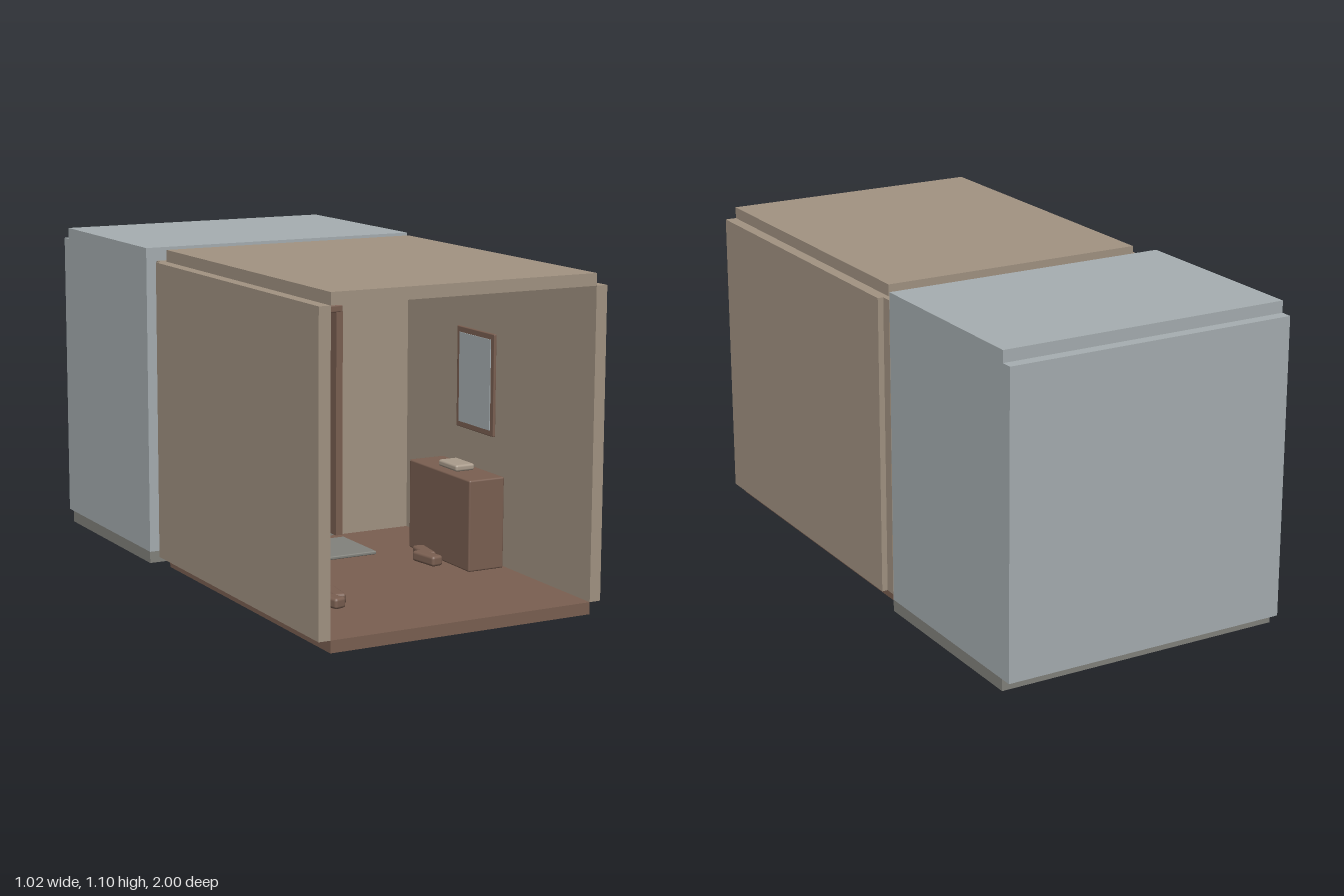
import * as THREE from 'three';
import { RoundedBoxGeometry } from 'three/addons/geometries/RoundedBoxGeometry.js';

const mat = (name, color) => Object.assign(new THREE.MeshStandardMaterial({ color }), { name });

export function createModel() {
  const plaster = mat('beige plaster', 0xa29382);
  const wood = mat('brown wood', 0x7a5f51);
  const paleWall = mat('pale blue grey', 0xa6aeb1);
  const stone = mat('grey stone', 0x82827c);
  const cloth = mat('blue cloth', 0x4f6780);
  const cream = mat('cream', 0xaa9c8c);

  const model = new THREE.Group();
  model.name = 'entranceHall';

  const add = (parent, name, geometry, material) => {
    const mesh = new THREE.Mesh(geometry, material);
    mesh.name = name;
    parent.add(mesh);
    return mesh;
  };
  // Box given by its extents along each axis; r rounds the edges
  const box = (name, material, [x0, x1], [y0, y1], [z0, z1], r = 0, parent = model) => {
    const size = [x1 - x0, y1 - y0, z1 - z0];
    const geometry = r ? new RoundedBoxGeometry(...size, 3, r) : new THREE.BoxGeometry(...size);
    const mesh = add(parent, name, geometry, material);
    mesh.position.set((x0 + x1) / 2, (y0 + y1) / 2, (z0 + z1) / 2);
    return mesh;
  };

  // Front hall shell
  const hallZ = [-0.175, 1];
  box('hallFloor', wood, [-0.47, 0.47], [0, 0.04], hallZ);
  box('hallCeiling', plaster, [-0.47, 0.47], [1.06, 1.1], hallZ);
  box('hallRightWall', plaster, [-0.51, -0.47], [0.04, 1.06], hallZ);
  box('hallLeftWall', plaster, [0.47, 0.51], [0.04, 1.06], hallZ);

  // Dividing wall with the doorway cut out
  const outline = new THREE.Shape([
    [-0.49, 0.04], [-0.175, 0.04], [-0.175, 0.845], [0.175, 0.845],
    [0.175, 0.04], [0.49, 0.04], [0.49, 1.06], [-0.49, 1.06],
  ].map(([x, y]) => new THREE.Vector2(x, y)));
  add(model, 'dividingWall', new THREE.ExtrudeGeometry(outline, { depth: 0.04, bevelEnabled: false }), plaster)
    .position.z = -0.215;

  // Rear room shell, open towards the doorway
  const rearZ = [-0.96, -0.255];
  box('rearFloor', stone, [-0.51, 0.51], [0, 0.04], rearZ);
  box('rearCeiling', paleWall, [-0.51, 0.51], [1.06, 1.1], rearZ);
  box('rearRightWall', paleWall, [-0.51, -0.47], [0.04, 1.06], rearZ);
  box('rearLeftWall', paleWall, [0.47, 0.51], [0.04, 1.06], rearZ);
  box('rearBackWall', paleWall, [-0.51, 0.51], [0.04, 1.06], [-1, -0.96]);

  // Door frame
  const frameZ = [-0.222, -0.165];
  box('doorFrameRight', wood, [-0.2, -0.174], [0.04, 0.846], frameZ);
  box('doorFrameLeft', wood, [0.174, 0.2], [0.04, 0.846], frameZ);
  box('doorFrameTop', wood, [-0.2, 0.2], [0.845, 0.87], frameZ, 0.004);

  // Door standing open on its hinge, with a knob on both sides
  const door = new THREE.Group();
  door.name = 'door';
  door.position.set(-0.165, 0, -0.165);
  door.rotation.y = -0.174;
  model.add(door);
  box('doorLeaf', wood, [-0.016, 0], [0.043, 0.825], [0, 0.345], 0, door);
  for (const x of [0.006, -0.022]) {
    const knob = add(door, 'doorKnob', new THREE.SphereGeometry(0.008, 16, 10), cream);
    knob.position.set(x, 0.435, 0.32);
  }

  // Doormat
  box('doormat', stone, [-0.17, 0.17], [0.04, 0.052], [-0.1, 0.14], 0.004);

  // Coat rail, pegs and hanging coat
  box('coatRail', wood, [-0.471, -0.46], [0.685, 0.73], [0.25, 0.57], 0.003);
  for (const z of [0.3, 0.41, 0.52]) {
    const peg = add(model, 'coatPeg', new THREE.CylinderGeometry(0.005, 0.005, 0.032, 12), cream);
    peg.rotation.z = Math.PI / 2;
    peg.position.set(-0.446, 0.708, z);
  }
  box('coat', cloth, [-0.459, -0.39], [0.336, 0.686], [0.345, 0.475], 0.012);

  // Cabinet with a tray, and the mirror above it
  box('cabinet', wood, [0.322, 0.459], [0.04, 0.354], [0.1, 0.5], 0.006);
  box('tray', cream, [0.354, 0.428], [0.354, 0.377], [0.24, 0.36], 0.008);
  box('mirrorFrame', wood, [0.461, 0.471], [0.475, 0.826], [0.18, 0.42], 0.003);
  box('mirrorGlass', paleWall, [0.458, 0.464], [0.495, 0.806], [0.2, 0.4]);

  // Two pairs of shoes, each slightly turned
  const shoes = [[-0.288, 0.65, 0.25], [-0.246, 0.605, -0.14], [0.262, 0.33, 0.15], [0.284, 0.27, -0.15]];
  for (const [x, z, turn] of shoes) {
    const shoe = add(model, 'shoe', new RoundedBoxGeometry(0.045, 0.036, 0.115, 2, 0.01), wood);
    shoe.position.set(x, 0.059, z);
    shoe.rotation.y = turn;
  }
  return model;
}
